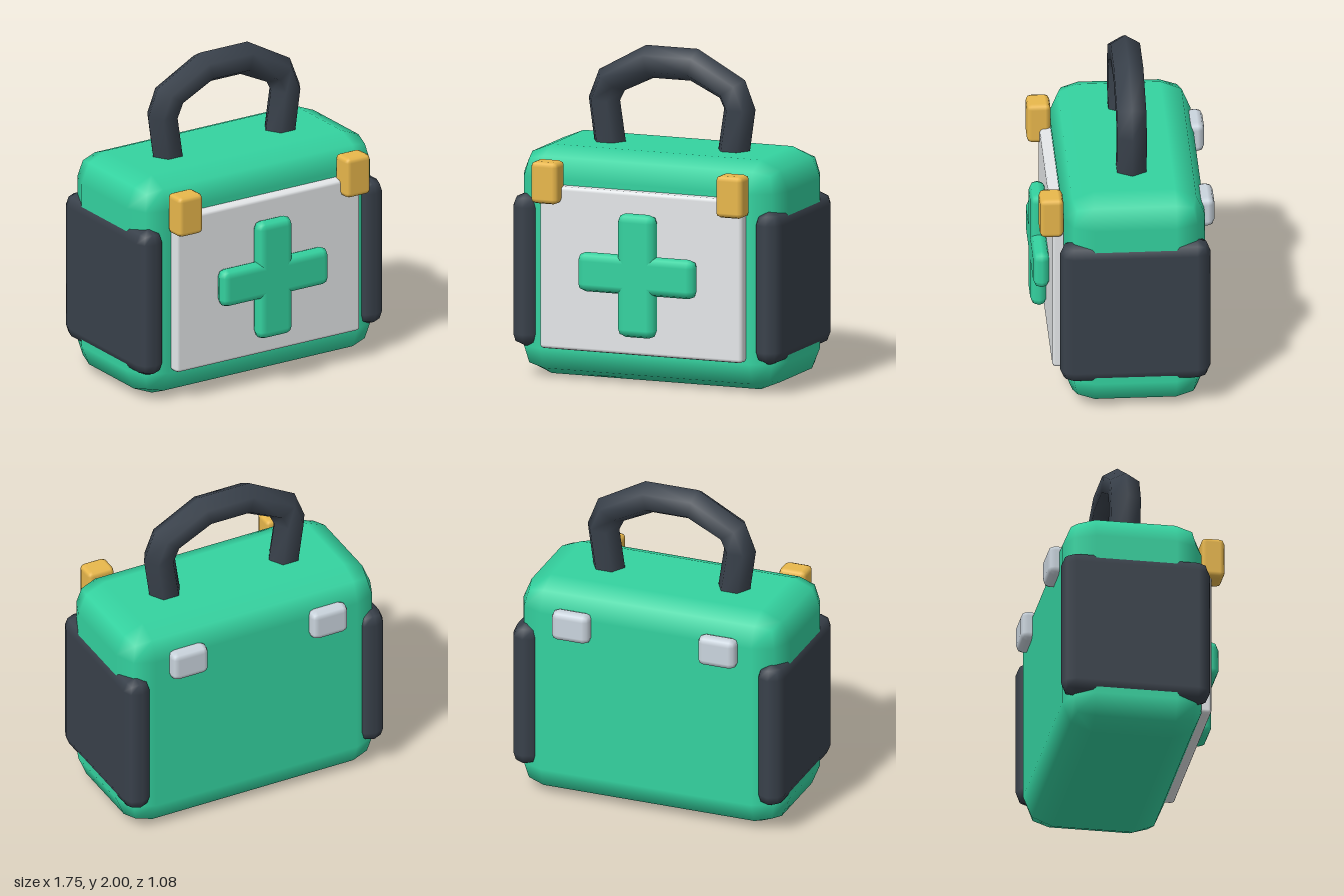
import * as THREE from 'three';
import { RoundedBoxGeometry } from 'three/addons/geometries/RoundedBoxGeometry.js';

const paint = (color) => new THREE.MeshStandardMaterial({ color });

export function createModel() {
  const kit = new THREE.Group();
  kit.name = 'firstAidKit';
  const green = paint(0x34d3a0), dark = paint(0x39414b), amber = paint(0xe9b84c);
  const white = paint(0xe5e8ea), silver = paint(0xcbd5de);

  // Rounded block spanning two opposite corners, with one bevel step
  function block(name, material, min, max, radius) {
    const size = max.map((v, i) => v - min[i]);
    const mesh = new THREE.Mesh(new RoundedBoxGeometry(...size, 1, radius), material);
    mesh.position.set(...max.map((v, i) => (v + min[i]) / 2));
    mesh.name = name;
    kit.add(mesh);
  }

  // Case and front panel
  block('caseBody', green, [-0.86, 0, -0.475], [0.86, 1.4, 0.375], 0.18);
  block('frontPanel', white, [-0.66, 0.195, 0.34], [0.66, 1.19, 0.442], 0.022);

  // Cross emblem
  block('crossUpright', green, [-0.125, 0.315, 0.435], [0.125, 1.07, 0.537], 0.05);
  block('crossBar', green, [-0.385, 0.575, 0.435], [0.385, 0.815, 0.537], 0.05);

  // Mirrored side pads, front clasps and back hinges
  for (const [side, s] of [['left', 1], ['right', -1]]) {
    const pair = (name, material, x0, x1, y0, y1, z0, z1, r) =>
      block(side + name, material, [Math.min(s * x0, s * x1), y0, z0], [Math.max(s * x0, s * x1), y1, z1], r);
    pair('SidePad', dark, 0.705, 0.876, 0.18, 1.115, -0.5, 0.405, 0.08);
    pair('Clasp', amber, 0.515, 0.69, 1.09, 1.345, 0.375, 0.517, 0.03);
    pair('Hinge', silver, 0.35, 0.595, 1.08, 1.27, -0.54, -0.44, 0.04);
  }

  // Handle: hexagonal rings along an arch, each given by centre x, y and tilt from +x
  const half = [[0.39, 1.3, -0.16], [0.441, 1.652, 0.03], [0.392, 1.77, 0.62], [0.145, 1.9, 1.33]];
  const rings = [...half, ...half.slice().reverse().map(([x, y, a]) => [-x, y, Math.PI - a])];
  const sides = 6, radius = 0.102, points = [], index = [];
  rings.forEach(([x, y, a], i) => {
    for (let j = 0; j < sides; j++) {
      const t = (j / sides) * Math.PI * 2, r = radius * Math.cos(t);
      points.push(x + r * Math.cos(a), y + r * Math.sin(a), -0.05 + radius * Math.sin(t));
      if (i === rings.length - 1) continue;
      const k = (j + 1) % sides, p = i * sides + j, q = i * sides + k;
      index.push(p, p + sides, q, q, p + sides, q + sides);
    }
  });
  const arch = new THREE.BufferGeometry();
  arch.setAttribute('position', new THREE.Float32BufferAttribute(points, 3));
  arch.setIndex(index);
  arch.computeVertexNormals();
  const handle = new THREE.Mesh(arch, dark);
  handle.name = 'handle';
  kit.add(handle);

  return kit;
}
